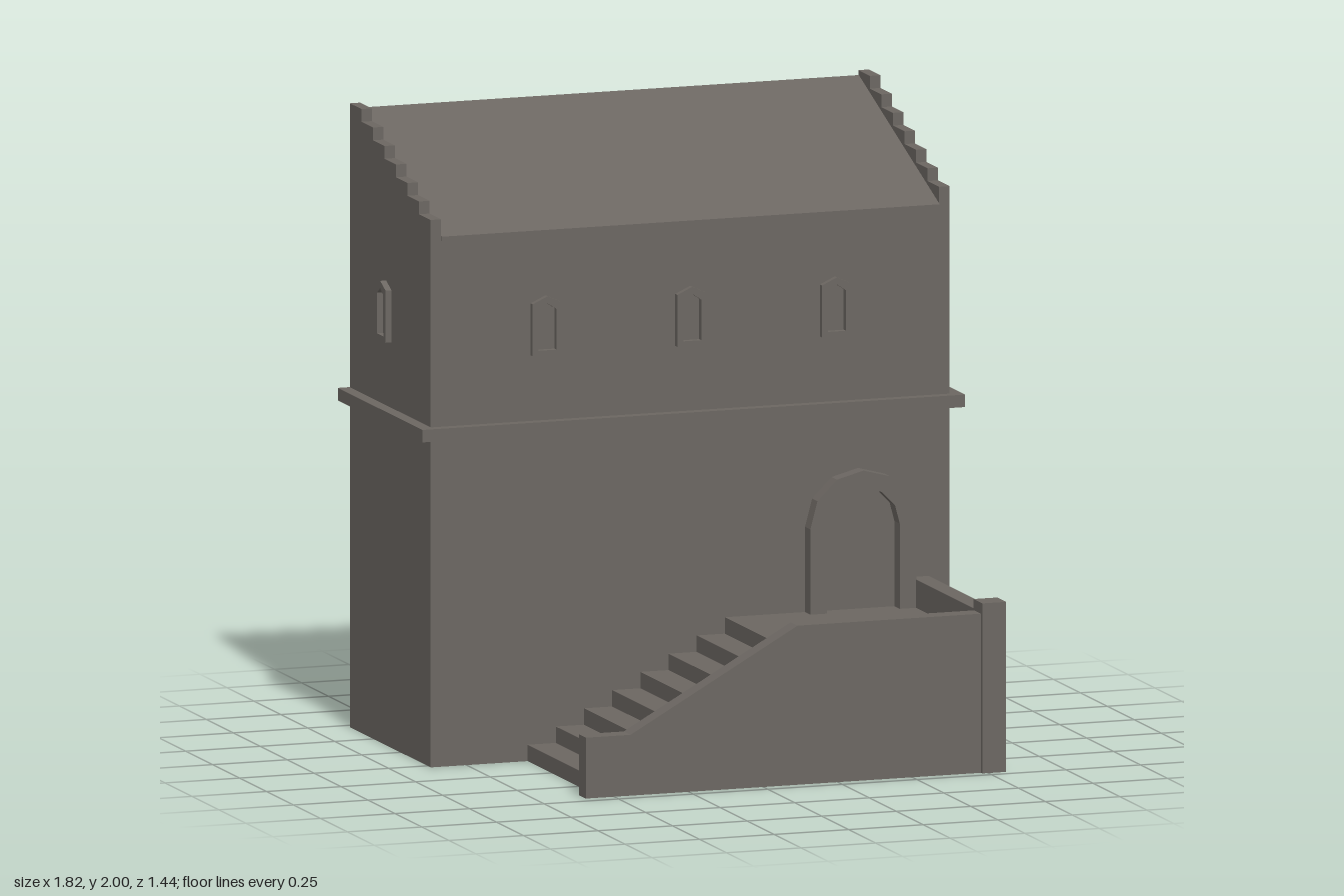
import * as THREE from 'three';

export function createModel() {
  const model = new THREE.Group();
  model.name = 'house';
  const stone = new THREE.MeshStandardMaterial({ color: 0x6b6661, side: THREE.DoubleSide });
  stone.name = 'grey stone';

  const add = (name, geometry, parent = model) => {
    const mesh = new THREE.Mesh(geometry, stone);
    mesh.name = name;
    parent.add(mesh);
    return mesh;
  };
  // box given by its limits on each axis
  const block = (name, x0, x1, y0, y1, z0, z1) =>
    add(name, new THREE.BoxGeometry(x1 - x0, y1 - y0, z1 - z0)
      .translate((x0 + x1) / 2, (y0 + y1) / 2, (z0 + z1) / 2));
  const outline = (points) => new THREE.Shape(points.map(([x, y]) => new THREE.Vector2(x, y)));
  const extrude = (shape, depth, curveSegments = 3) =>
    new THREE.ExtrudeGeometry(shape, { depth, bevelEnabled: false, curveSegments });

  const W = 0.87, FRONT = 0.03, BACK = -0.72, EAVE = 1.69;
  const depth = FRONT - BACK, midZ = (FRONT + BACK) / 2;

  // thin shell walls, open at the back and below
  add('frontWall', new THREE.PlaneGeometry(2 * W, EAVE).translate(0, EAVE / 2, FRONT));
  for (const s of [-1, 1]) {
    add(s > 0 ? 'leftWall' : 'rightWall',
      new THREE.PlaneGeometry(depth, EAVE).rotateY(s * Math.PI / 2).translate(s * W, EAVE / 2, midZ));
  }

  // stepped gables: profile in (-z, y), extruded along x
  const steps = 7, run = depth / steps;
  const profile = [[-BACK, EAVE], [-FRONT, EAVE]];
  for (let i = 0; i < steps; i++) {
    const y = 1.755 + i * 0.0408;
    profile.push([-FRONT + i * run, y], [-FRONT + (i + 1) * run, y]);
  }
  for (const x of [-W, W - 0.035]) {
    add('steppedGable', extrude(outline(profile), 0.035).rotateY(Math.PI / 2).translate(x, 0, 0));
  }

  // sloping roof slab between the gables
  const slab = outline([[-0.035, 1.685], [0.715, 1.968], [0.715, 1.985], [-0.035, 1.7]]);
  add('roof', extrude(slab, 1.67).rotateY(Math.PI / 2).translate(-0.835, 0, 0));

  // string course around three sides
  block('frontCornice', -0.91, 0.91, 1.05, 1.09, FRONT, 0.063);
  block('leftCornice', W, 0.91, 1.05, 1.09, BACK, FRONT);
  block('rightCornice', -0.91, -W, 1.05, 1.09, BACK, FRONT);

  // pointed window frames
  const pointed = (w, y0, y1, apex) => [[-w, y0], [w, y0], [w, y1], [0, apex], [-w, y1]];
  const frame = outline(pointed(0.05, 1.3, 1.467, 1.49));
  frame.holes.push(outline(pointed(0.03, 1.317, 1.447, 1.467)));
  const windowGeometry = extrude(frame, 0.02);
  for (const x of [-0.485, 0, 0.485]) {
    add('frontWindow', windowGeometry).position.set(x, 0, FRONT);
  }
  for (const s of [-1, 1]) {
    const w = add('sideWindow', windowGeometry);
    w.position.set(s * W, 0, -0.383);
    w.rotation.y = s * Math.PI / 2;
  }

  // arched door surround standing on the landing
  const LANDING = 0.42, SPRING = 0.693, R = 0.178, r = 0.122;
  const arch = new THREE.Shape();
  arch.moveTo(-R, LANDING);
  arch.lineTo(-r, LANDING);
  arch.lineTo(-r, SPRING);
  arch.absarc(0, SPRING, r, Math.PI, 0, true);
  arch.lineTo(r, LANDING);
  arch.lineTo(R, LANDING);
  arch.lineTo(R, SPRING);
  arch.absarc(0, SPRING, R, 0, Math.PI, false);
  add('doorArch', extrude(arch, 0.05)).position.set(0.563, 0, FRONT);

  // staircase of thin risers and treads, ending in the landing
  const stairs = new THREE.Group();
  stairs.name = 'stairs';
  model.add(stairs);
  const count = 8, rise = LANDING / count, tread = 0.0945, x0 = -0.545;
  const stairZ0 = FRONT, stairZ1 = 0.645, width = stairZ1 - stairZ0, z = (stairZ0 + stairZ1) / 2;
  for (let i = 0; i < count; i++) {
    const x = x0 + i * tread, y = (i + 1) * rise;
    const length = i === count - 1 ? 0.74 - x : tread;
    add('riser', new THREE.PlaneGeometry(width, rise).rotateY(-Math.PI / 2)
      .translate(x, y - rise / 2, z), stairs);
    add(i === count - 1 ? 'landing' : 'tread', new THREE.PlaneGeometry(length, width)
      .rotateX(-Math.PI / 2).translate(x + length / 2, y, z), stairs);
  }

  // parapet along the stairs, end wall and corner post
  const parapet = outline([[-0.595, 0], [0.735, 0], [0.735, 0.51], [0.115, 0.51], [-0.445, 0.195], [-0.595, 0.195]]);
  add('stairParapet', extrude(parapet, 0.063)).position.z = stairZ1;
  block('landingEndWall', 0.74, 0.8, 0, 0.51, FRONT, stairZ1);
  block('cornerPost', 0.73, 0.81, 0, 0.545, 0.638, 0.72);

  return model;
}
